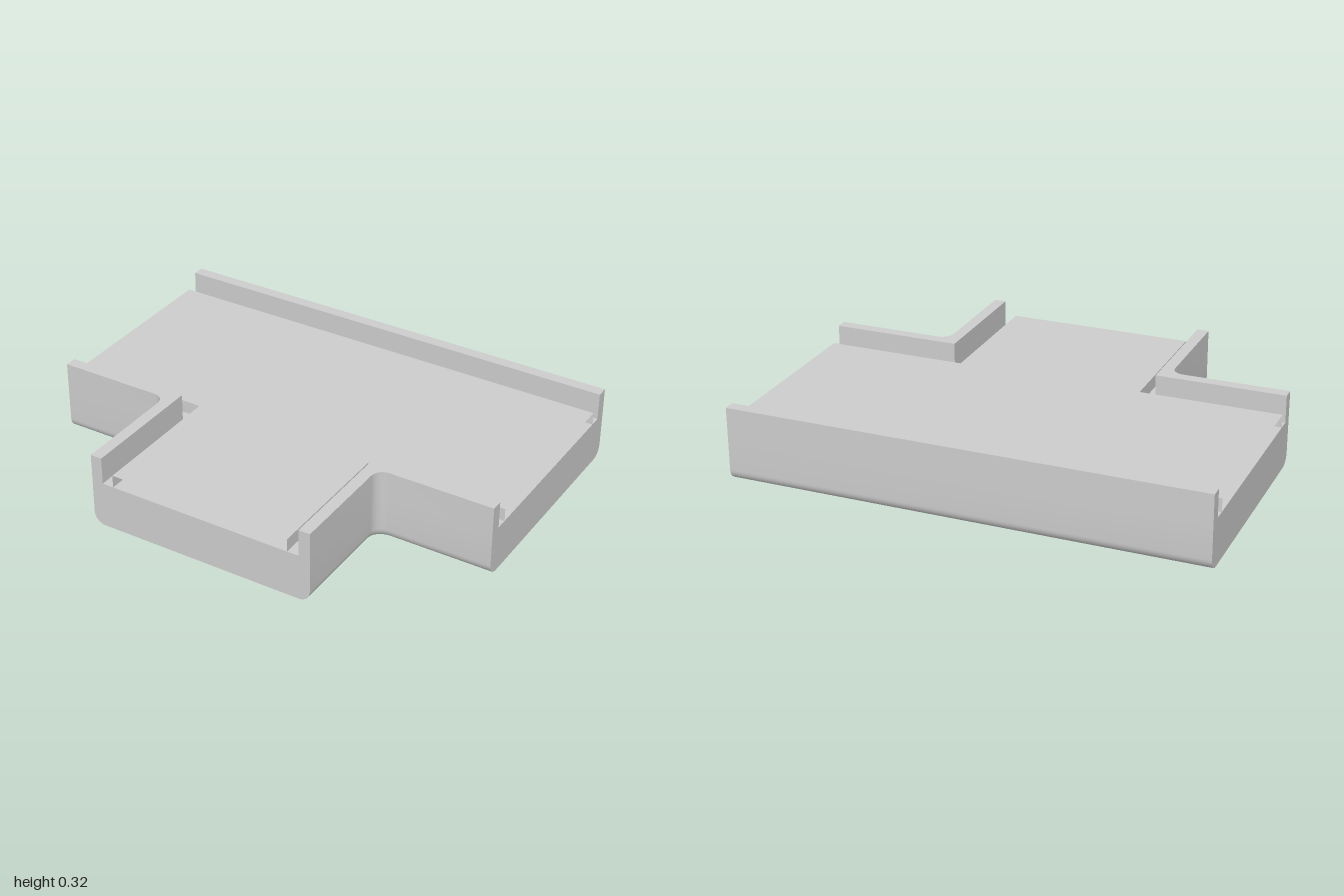
import * as THREE from 'three';
import { mergeGeometries, toCreasedNormals } from 'three/addons/utils/BufferGeometryUtils.js';

const BED = 0.2, DECK = 0.255, TOP = 0.317, R = 0.05, SEG = 8;

// Mirror a list of [x, z] points to -x, keeping the walking direction
const mirror = pts => pts.map(([x, z]) => [-x, z]).reverse();

// Right-hand front edge of the T, inset by d, with the rounded inside corner
function frontEdge(d) {
  const pts = [[1, 0.25 - d]];
  for (let i = 0; i <= SEG; i++) {
    const t = (i / SEG) * Math.PI / 2;
    pts.push([0.55 - (R + d) * Math.sin(t), 0.3 - (R + d) * Math.cos(t)]);
  }
  pts.push([0.5 - d, 0.75]);
  return pts;
}

function outline(d) {
  const half = [[1, -0.75 + d], ...frontEdge(d)];
  return [...half, ...mirror(half)];
}

// Walls between stacked rings of { y, pts }
function loft(rings, closed) {
  const n = rings[0].pts.length, pos = [], idx = [];
  for (const { y, pts } of rings) for (const [x, z] of pts) pos.push(x, y, z);
  for (let k = 0; k < rings.length - 1; k++) {
    for (let i = 0; i < (closed ? n : n - 1); i++) {
      const a = k * n + i, b = k * n + (i + 1) % n;
      idx.push(b, a, a + n, b, a + n, b + n);
    }
  }
  const g = new THREE.BufferGeometry();
  g.setAttribute('position', new THREE.Float32BufferAttribute(pos, 3));
  g.setIndex(idx);
  return g.toNonIndexed();
}

// Flat horizontal sheet facing up or down
function sheet(pts, y, up) {
  const s = up ? -1 : 1;
  const shape = new THREE.Shape(pts.map(([x, z]) => new THREE.Vector2(x, s * z)));
  const g = new THREE.ShapeGeometry(shape).rotateX(s * Math.PI / 2).translate(0, y, 0).toNonIndexed();
  g.deleteAttribute('uv');
  g.deleteAttribute('normal');
  return g;
}

// Upright block of the given plan standing on the bed
function kerb(pts) {
  const shape = new THREE.Shape(pts.map(([x, z]) => new THREE.Vector2(x, z)));
  return new THREE.ExtrudeGeometry(shape, { depth: TOP - BED, bevelEnabled: false })
    .rotateX(Math.PI / 2).translate(0, TOP, 0);
}

export function createModel() {
  const group = new THREE.Group();
  const material = new THREE.MeshStandardMaterial({ color: 0xcccccc, side: THREE.DoubleSide });
  const add = (name, geometry) => {
    const mesh = new THREE.Mesh(toCreasedNormals(geometry, Math.PI / 6), material);
    mesh.name = name;
    group.add(mesh);
  };

  // Solid T base with rounded lower edges and flat ends
  const rings = [];
  for (let i = 0; i <= SEG; i++) {
    const t = (i / SEG) * Math.PI / 2;
    rings.push({ y: R * (1 - Math.cos(t)), pts: outline(R * (1 - Math.sin(t))) });
  }
  rings.push({ y: BED, pts: outline(0) });
  add('base', mergeGeometries([
    loft(rings, true), sheet(outline(R), 0, false), sheet(outline(0), BED, true),
  ]));

  // Kerbs: one straight along the back, two bent around the front corners
  add('backKerb', kerb([[-1, -0.75], [1, -0.75], [1, -0.7], [-1, -0.7]]));
  const bent = [...frontEdge(0), [0.45, 0.75], [0.45, 0.2], [1, 0.2]];
  add('leftKerb', kerb(bent));
  add('rightKerb', kerb(mirror(bent)));

  // Raised deck with side skirts, open at its three ends, leaving gutters by the kerbs
  const back = [[-1, -0.65], [1, -0.65]];
  const left = [[1, 0.15], [0.4, 0.15], [0.4, 0.75]];
  const skirt = pts => loft([{ y: BED, pts }, { y: DECK, pts }], false);
  add('deck', mergeGeometries([
    sheet([...back, ...left, ...mirror(left)], DECK, true),
    skirt(back), skirt(left), skirt(mirror(left)),
  ]));

  return group;
}
